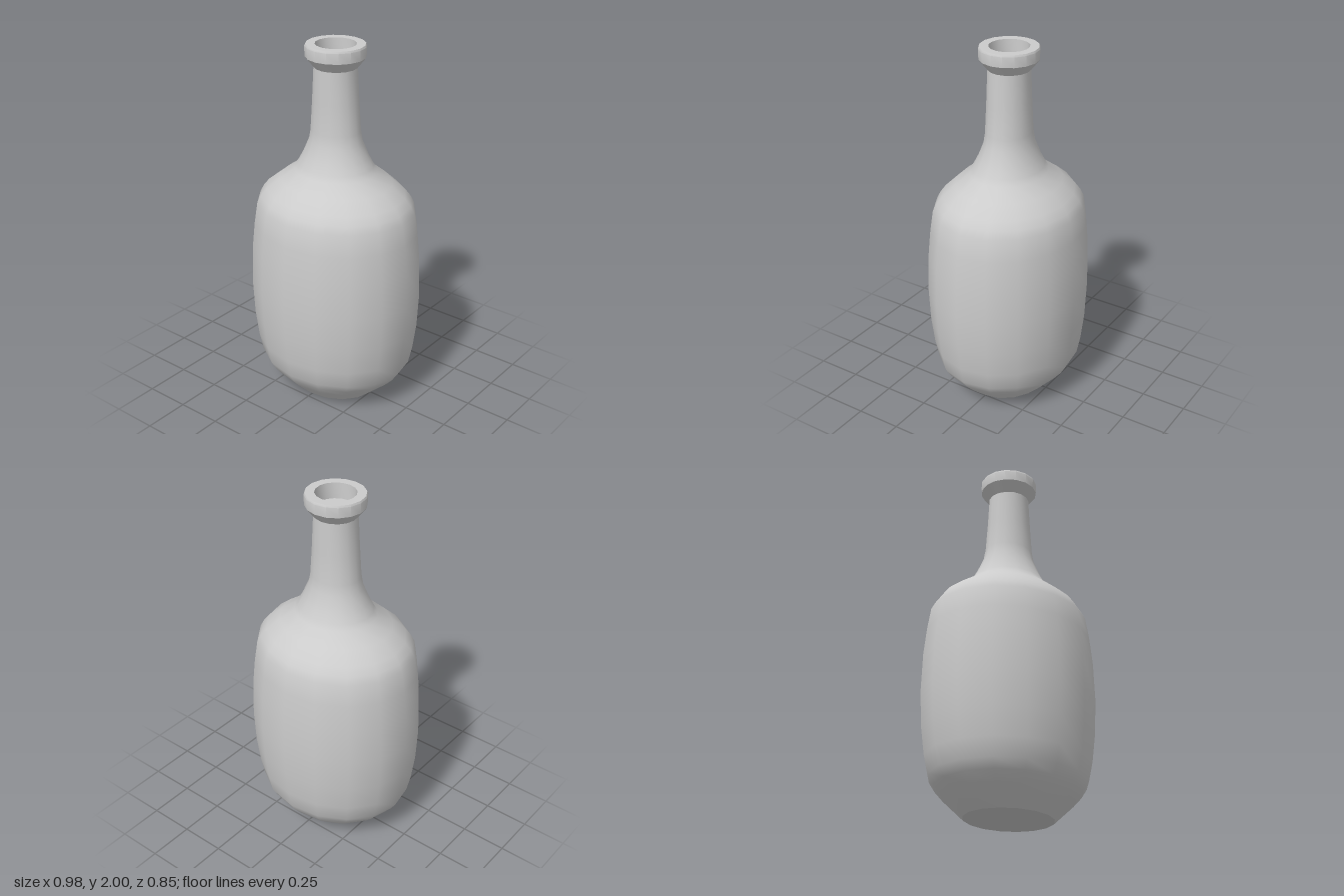
import * as THREE from 'three';
import { toCreasedNormals } from 'three/addons/utils/BufferGeometryUtils.js';

const SIDES = 16;

// Oval lathe: each row is [y, half width, half depth], listed along the profile
function ovalLathe(rows) {
  const points = rows.map(([y, rx]) => new THREE.Vector2(rx, y));
  const geometry = new THREE.LatheGeometry(points, SIDES, -0.035);
  const pos = geometry.attributes.position;
  for (let i = 0; i < pos.count; i++) {
    const [, rx, rz] = rows[i % rows.length];
    if (rx > 0) pos.setZ(i, pos.getZ(i) * rz / rx);
  }
  return toCreasedNormals(geometry, 0.61);
}

export function createModel() {
  const group = new THREE.Group();
  group.name = 'bottle';
  const material = new THREE.MeshStandardMaterial({ color: 0xcccccc });

  function add(name, rows) {
    const mesh = new THREE.Mesh(ovalLathe(rows), material);
    mesh.name = name;
    group.add(mesh);
  }

  // Closed skin: flat base, oval belly, shoulder, neck, lip and shallow mouth
  add('bottleBody', [
    [0, 0, 0],
    [0, 0.25, 0.215],
    [0.1, 0.36, 0.315],
    [0.15, 0.407, 0.355],
    [0.2, 0.44, 0.383],
    [0.3, 0.462, 0.402],
    [0.45, 0.482, 0.418],
    [0.64, 0.491, 0.426],
    [0.85, 0.484, 0.42],
    [1.0, 0.468, 0.406],
    [1.12, 0.448, 0.39],
    [1.16, 0.427, 0.37],
    [1.2, 0.395, 0.34],
    [1.26, 0.32, 0.276],
    [1.32, 0.233, 0.203],
    [1.35, 0.212, 0.185],
    [1.4, 0.185, 0.16],
    [1.48, 0.151, 0.13],
    [1.54, 0.14, 0.121],
    [1.7, 0.127, 0.116],
    [1.88, 0.115, 0.112],
    [1.935, 0.159, 0.156],
    [1.99, 0.161, 0.158],
    [2.0, 0.156, 0.153],
    [2.0, 0.108, 0.106],
    [1.915, 0.105, 0.103],
    [1.915, 0, 0],
  ]);

  return group;
}
